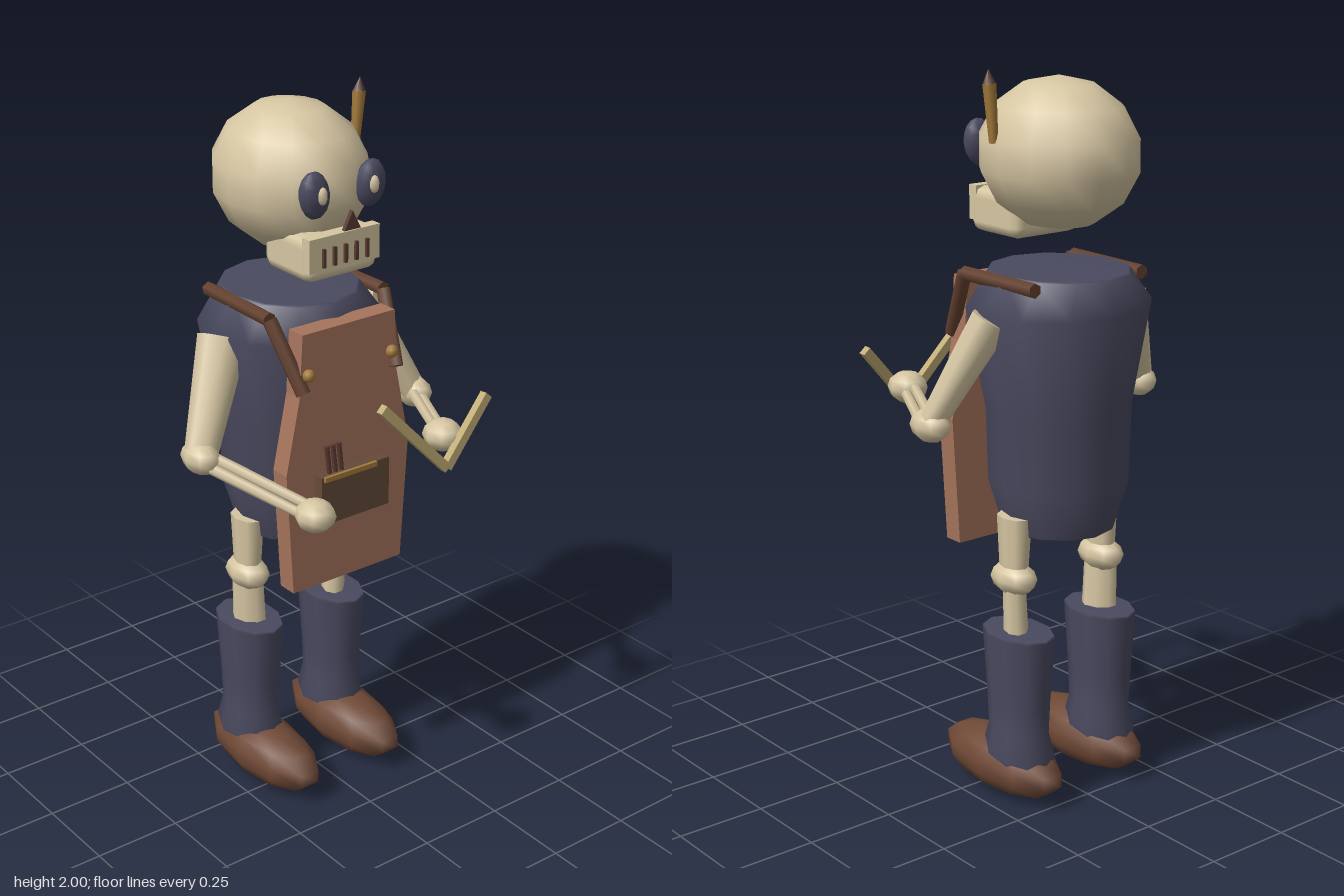
import * as THREE from 'three';
import { RoundedBoxGeometry } from 'three/addons/geometries/RoundedBoxGeometry.js';

const mat = (name, color) => {
  const m = new THREE.MeshStandardMaterial({ color });
  m.name = name;
  return m;
};

export function createModel() {
  const root = new THREE.Group();
  root.name = 'skeletonCarpenter';
  const bone = mat('bone', 0xd6c6a2);
  const navy = mat('navy cloth', 0x4a4a60);
  const leather = mat('apron leather', 0xa6745c);
  const strapBrown = mat('strap brown', 0x64412f);
  const shoeBrown = mat('shoe brown', 0x6e4835);
  const pocketBrown = mat('pocket brown', 0x644a38);
  const brass = mat('brass', 0xa67c3c);
  const wood = mat('ruler wood', 0xbfab74);
  const dark = mat('dark brown', 0x5a3a32);

  const add = (name, geometry, material, x = 0, y = 0, z = 0) => {
    const m = new THREE.Mesh(geometry, material);
    m.name = name;
    m.position.set(x, y, z);
    root.add(m);
    return m;
  };
  const box = (name, w, h, d, material, x, y, z) =>
    add(name, new THREE.BoxGeometry(w, h, d), material, x, y, z);
  const ball = (name, rx, ry, rz, material, x, y, z, ws = 8, hs = 6) =>
    add(name, new THREE.SphereGeometry(1, ws, hs).scale(rx, ry, rz), material, x, y, z);

  // Tapered rod running from point a to point b; depth stretches it in z
  const rod = (name, a, b, ra, rb, material, sides = 8, depth = 1) => {
    const A = new THREE.Vector3(...a), B = new THREE.Vector3(...b);
    const dir = B.clone().sub(A);
    const g = new THREE.CylinderGeometry(rb, ra, dir.length(), sides).scale(1, 1, depth);
    const m = add(name, g, material);
    m.position.copy(A).add(B).multiplyScalar(0.5);
    m.quaternion.setFromUnitVectors(new THREE.Vector3(0, 1, 0), dir.normalize());
    return m;
  };

  // Oval lathe: rows of [y, x radius, z radius]
  const ovalLathe = (rows, sides) => {
    const g = new THREE.LatheGeometry(rows.map(r => new THREE.Vector2(r[1], r[0])), sides);
    const p = g.attributes.position;
    for (let i = 0; i < p.count; i++) {
      const r = rows[i % rows.length];
      if (r[1] > 0) p.setZ(i, p.getZ(i) * r[2] / r[1]);
    }
    return g;
  };

  // Skull, jaw and face
  ball('skull', 0.203, 0.2, 0.232, bone, 0, 1.775, -0.115, 14, 7);
  add('jaw', new RoundedBoxGeometry(0.234, 0.122, 0.2, 1, 0.03), bone, 0, 1.612, 0.017);
  box('upperTeeth', 0.228, 0.092, 0.03, bone, 0, 1.629, 0.102);
  for (let i = -2; i <= 2; i++) {
    box('toothGap', 0.009, 0.05, 0.009, dark, i * 0.035, 1.62, 0.121);
  }
  const noseShape = new THREE.Shape([[-0.026, -0.024], [0.026, -0.024], [0, 0.026]]
    .map(p => new THREE.Vector2(...p)));
  add('nose', new THREE.ExtrudeGeometry(noseShape, { depth: 0.012, bevelEnabled: false }),
    dark, 0, 1.715, 0.137);

  // Pencil tucked beside the skull
  const pencilTop = [0.205, 1.965, -0.087];
  rod('pencil', [0.192, 1.815, -0.087], pencilTop, 0.012, 0.018, brass, 6);
  rod('pencilTip', pencilTop, [0.208, 2.0, -0.087], 0.017, 0.001, dark, 6);

  // Torso
  add('torso', ovalLathe([
    [0.765, 0, 0], [0.765, 0.148, 0.15], [0.77, 0.152, 0.156], [0.9, 0.19, 0.198],
    [1.1, 0.196, 0.203], [1.38, 0.258, 0.232], [1.47, 0.185, 0.2], [1.475, 0.18, 0.195], [1.475, 0, 0],
  ], 12), navy, 0, 0, -0.12);

  // Apron
  const half = [[0.152, 1.435], [0.162, 1.26], [0.206, 1.05], [0.185, 0.695]];
  const outline = [...half.map(([x, y]) => [-x, y]), ...half.slice().reverse()];
  const apron = new THREE.Shape(outline.map(p => new THREE.Vector2(...p)));
  add('apron', new THREE.ExtrudeGeometry(apron, { depth: 0.058, bevelEnabled: false }),
    leather, 0, 0, 0.08);

  // Pocket with trim and small sticks
  box('pocket', 0.228, 0.14, 0.032, pocketBrown, 0, 0.96, 0.155);
  box('pocketTrim', 0.174, 0.014, 0.009, brass, -0.02, 1.025, 0.174);
  for (const x of [-0.08, -0.06, -0.04]) {
    rod('pocketStick', [x + 0.008, 1.0, 0.153], [x - 0.005, 1.11, 0.153], 0.007, 0.007, dark, 5);
  }

  for (const s of [-1, 1]) {
    const side = s > 0 ? 'left' : 'right';

    // Eyes
    const eye = ball(side + 'Eye', 0.046, 0.063, 0.028, navy, s * 0.09, 1.787, 0.106, 10, 8);
    eye.rotation.z = -s * 0.12;
    ball(side + 'Pupil', 0.015, 0.024, 0.012, bone, s * 0.083, 1.79, 0.132, 6, 5);

    // Apron straps and buttons
    const bend = [s * 0.188, 1.457, 0.045];
    rod(side + 'ShoulderStrap', [s * 0.182, 1.457, -0.24], bend, 0.02, 0.02, strapBrown, 6);
    rod(side + 'FrontStrap', bend, [s * 0.155, 1.275, 0.145], 0.021, 0.021, strapBrown, 6);
    ball(side + 'Button', 0.018, 0.018, 0.016, brass, s * 0.138, 1.322, 0.145);

    // Arms: the left hand is raised to hold the ruler
    const handY = s > 0 ? 1.105 : 0.995;
    const elbow = [s * 0.362, 1.09, -0.03];
    rod(side + 'UpperArm', [s * 0.225, 1.365, -0.115], elbow, 0.055, 0.036, bone, 8, 1.25);
    ball(side + 'Elbow', 0.047, 0.045, 0.065, bone, ...elbow);
    for (const o of [-0.014, 0.014]) {
      rod(side + 'ForearmBone', [elbow[0] + o, 1.09 - s * o * 0.5, -0.02],
        [s * 0.213 + o, handY - s * o * 0.5, 0.27], 0.016, 0.014, bone, 6);
    }
    ball(side + 'Hand', 0.055, 0.044, 0.057, bone, s * 0.214, handY, 0.272);

    // Legs
    const knee = [s * 0.155, 0.645, -0.118];
    rod(side + 'Thigh', [s * 0.153, 0.82, -0.118], knee, 0.04, 0.032, bone, 8, 1.4);
    ball(side + 'Knee', 0.053, 0.047, 0.077, bone, ...knee);
    rod(side + 'Shin', knee, [s * 0.148, 0.45, -0.12], 0.031, 0.034, bone, 8, 1.5);

    // Boot shaft and shoe
    add(side + 'Boot', ovalLathe([
      [0.08, 0.07, 0.1], [0.14, 0.08, 0.122], [0.21, 0.066, 0.102], [0.3, 0.07, 0.106],
      [0.488, 0.082, 0.119], [0.495, 0.08, 0.116], [0.495, 0, 0],
    ], 10), navy, s * 0.146, 0, -0.126);
    ball(side + 'Shoe', 0.097, 0.085, 0.233, shoeBrown, s * 0.145, 0.09, -0.058, 10, 7);
  }

  // Folding ruler: two hinged bars
  const hinge = [0.17, 1.045, 0.338];
  for (const end of [[-0.04, 1.265, 0.324], [0.318, 1.213, 0.324]]) {
    const A = new THREE.Vector3(...hinge), B = new THREE.Vector3(...end);
    const bar = box('rulerBar', 0.026, A.distanceTo(B), 0.022, wood, 0, 0, 0);
    bar.position.copy(A).add(B).multiplyScalar(0.5);
    bar.quaternion.setFromUnitVectors(new THREE.Vector3(0, 1, 0), B.sub(A).normalize());
  }

  return root;
}
